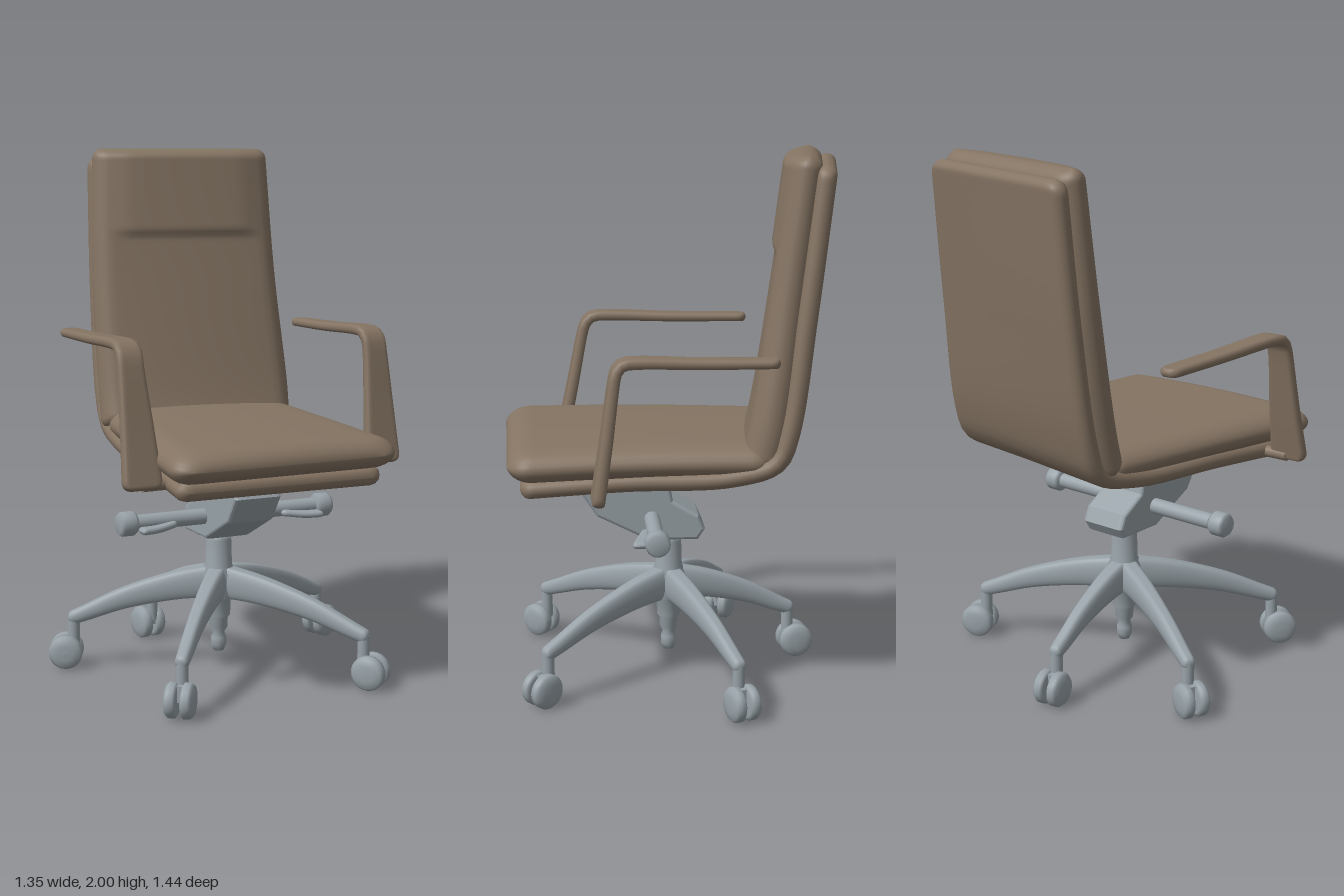
import * as THREE from 'three';

const leather = new THREE.MeshStandardMaterial({ name: 'brown leather', color: 0x857463 });
const metal = new THREE.MeshStandardMaterial({ name: 'grey metal', color: 0x98a2a8 });
const V = (x, y, z) => new THREE.Vector3(x, y, z);
const curve = pts => new THREE.CatmullRomCurve3(pts.map(p => V(...p)));
const step = THREE.MathUtils.smoothstep;

// Padded slab swept between a left and a right edge curve, rounded on every side.
// t: thickness, edge: side rounding, end: rounding at both ends, corner: plan radius, top: extra height
function slab(left, right, t, { edge = 0.03, end = 0.03, corner = 0.03, top = () => 0, rows = 72, ring = 44 } = {}) {
  const A = curve(left), B = curve(right);
  const length = (A.getLength() + B.getLength()) / 2;
  const pos = [], index = [];
  for (let i = 0; i <= rows; i++) {
    const u = (1 - Math.cos(Math.PI * i / rows)) / 2;
    const a = A.getPointAt(u), b = B.getPointAt(u);
    const mid = a.clone().add(b).multiplyScalar(0.5);
    const W = b.clone().sub(a);
    let w = W.length() / 2;
    W.normalize();
    const T = A.getTangentAt(u).add(B.getTangentAt(u));
    const N = T.cross(W).normalize();
    const d = Math.min(u, 1 - u) * length;
    const k = Math.max(0, 1 - d / end), c = Math.max(0, corner - d);
    const eu = Math.sqrt(Math.max(0, 1 - k * k));
    w -= corner - Math.sqrt(Math.max(0, corner * corner - c * c));
    const half = (typeof t === 'function' ? t(u) : t) / 2;
    for (let j = 0; j < ring; j++) {
      const ang = 2 * Math.PI * j / ring, x = Math.cos(ang), s = Math.sin(ang);
      const q = Math.min(1, Math.max(0, (Math.abs(x) * w - (w - edge)) / edge));
      const h = Math.sqrt(1 - q * q) * eu * (half + (s > 0 ? top(u, x) : 0));
      const p = mid.clone().addScaledVector(W, x * w)
        .addScaledVector(N, Math.abs(s) < 1e-6 ? 0 : Math.sign(s) * h);
      pos.push(p.x, p.y, p.z);
      if (i < rows) {
        const m = i * ring + j, n = i * ring + (j + 1) % ring;
        index.push(m, n, m + ring, n, n + ring, m + ring);
      }
    }
  }
  const g = new THREE.BufferGeometry();
  g.setAttribute('position', new THREE.Float32BufferAttribute(pos, 3));
  g.setIndex(index);
  g.computeVertexNormals();
  return g;
}

// Slab along a centre line, with width w(u) across a fixed direction
function strip(path, across, widths, t, opts) {
  const side = s => path.map((p, i) => p.map((v, k) => v + s * across[k] * widths[i] / 2));
  return slab(side(-1), side(1), t, opts);
}

function rod(from, to, r, r2 = r) {
  const a = V(...from), b = V(...to), dir = b.clone().sub(a);
  const g = new THREE.CylinderGeometry(r2, r, dir.length(), 24);
  g.applyQuaternion(new THREE.Quaternion().setFromUnitVectors(V(0, 1, 0), dir.normalize()));
  return g.translate(...a.add(b).multiplyScalar(0.5).toArray());
}

const lathe = pts => new THREE.LatheGeometry(pts.map(p => new THREE.Vector2(...p)), 28);

export function createModel() {
  const group = new THREE.Group();
  const add = (name, geometry, material, parent = group) => {
    const mesh = new THREE.Mesh(geometry, material);
    mesh.name = name;
    parent.add(mesh);
    return mesh;
  };

  // One-piece shell: down the back, round the bend and under the seat
  add('shell', slab(
    [[-0.64, 1.97, -0.36], [-0.62, 1.45, -0.31], [-0.585, 1.03, -0.25], [-0.555, 0.92, -0.21], [-0.46, 0.865, -0.06], [-0.25, 0.845, 0.29], [-0.02, 0.815, 0.66]],
    [[0, 1.97, -0.71], [0.06, 1.45, -0.675], [0.11, 1.03, -0.64], [0.135, 0.92, -0.605], [0.22, 0.865, -0.47], [0.42, 0.845, -0.15], [0.63, 0.815, 0.17]],
    0.07, { edge: 0.035, corner: 0.05, rows: 96 }), leather);

  // Back cushion with a raised head pad
  add('backCushion', slab(
    [[-0.6, 2, -0.3], [-0.59, 1.5, -0.25], [-0.55, 1.05, -0.19], [-0.53, 0.9, -0.16]],
    [[0.025, 2, -0.65], [0.075, 1.5, -0.605], [0.135, 1.05, -0.575], [0.15, 0.9, -0.55]],
    u => 0.11 + 0.03 * u, {
      edge: 0.07, end: 0.05, corner: 0.04, rows: 110, ring: 56,
      top: (u, x) => 0.022 * (1 - x * x) + 0.014 * (1 - step(u, 0.295, 0.325)) * (1 - step(Math.abs(x), 0.6, 0.85))
    }), leather);

  // Seat cushion
  add('seatCushion', slab(
    [[-0.53, 0.92, -0.2], [-0.27, 0.915, 0.29], [-0.01, 0.9, 0.75]],
    [[0.13, 0.92, -0.6], [0.43, 0.915, -0.18], [0.7, 0.9, 0.17]],
    0.115, { edge: 0.09, end: 0.1, corner: 0.09, top: (u, x) => 0.014 * (1 - x * x) }), leather);

  // Arms: flat pad bending into a blade that widens to the foot
  const across = [0.77, 0, -0.64], widths = [0.08, 0.085, 0.09, 0.095, 0.1, 0.1, 0.125, 0.155];
  const armPaths = {
    rightArm: [[-0.62, 1.3, -0.01], [-0.44, 1.303, 0.23], [-0.28, 1.31, 0.45], [-0.25, 1.305, 0.49], [-0.232, 1.28, 0.51], [-0.225, 1.24, 0.52], [-0.195, 1.03, 0.55], [-0.165, 0.81, 0.585]],
    leftArm: [[0.17, 1.3, -0.63], [0.34, 1.303, -0.42], [0.49, 1.31, -0.24], [0.52, 1.305, -0.205], [0.538, 1.28, -0.19], [0.545, 1.24, -0.185], [0.565, 1.03, -0.165], [0.585, 0.81, -0.14]]
  };
  for (const [name, path] of Object.entries(armPaths)) {
    add(name, strip(path, across, widths, u => 0.032 + 0.012 * u,
      { edge: 0.014, end: 0.012, corner: 0.035, rows: 64, ring: 28 }), leather);
  }
  // Brackets joining the arm feet to the shell
  add('armBracket', rod([-0.17, 0.825, 0.575], [-0.05, 0.825, 0.47], 0.022), leather);
  add('armBracket', rod([0.57, 0.825, -0.14], [0.44, 0.825, -0.04], 0.022), leather);

  // Tilt mechanism under the seat
  const yaw = THREE.MathUtils.degToRad(38);
  const under = new THREE.Group();
  under.name = 'mechanism';
  under.position.set(-0.03, 0, -0.03);
  under.rotation.y = yaw;
  group.add(under);
  const profile = new THREE.Shape([[-0.12, 0.575], [-0.1, 0.545], [0.08, 0.545], [0.27, 0.64], [0.33, 0.73],
    [0.3, 0.78], [0.02, 0.78], [0.0, 0.68], [-0.1, 0.62]].map(p => new THREE.Vector2(...p)));
  const body = new THREE.ExtrudeGeometry(profile, { depth: 0.15, bevelSize: 0.012, bevelThickness: 0.02, bevelSegments: 3 });
  body.translate(0, 0, -0.075).rotateY(-Math.PI / 2);
  add('tiltHousing', body, metal, under);
  add('seatPlate', new THREE.BoxGeometry(0.34, 0.04, 0.4).translate(0, 0.805, 0.14), metal, under);

  // Adjustment bar with a knob and a paddle at each end
  add('adjustmentBar', rod([-0.4, 0.62, 0.07], [0.4, 0.62, 0.07], 0.03), metal, under);
  for (const s of [-1, 1]) {
    const knob = lathe([[0, -0.035], [0.036, -0.035], [0.046, -0.022], [0.046, 0.022], [0.036, 0.035], [0, 0.035]]);
    add('knob', knob.rotateZ(Math.PI / 2).translate(s * 0.41, 0.62, 0.07), metal, under);
    add('paddle', strip([[s * 0.22, 0.61, 0.1], [s * 0.31, 0.6, 0.12], [s * 0.38, 0.6, 0.13]], [0, 0, 1],
      [0.03, 0.05, 0.06], 0.025, { edge: 0.012, end: 0.012, corner: 0.015, rows: 16, ring: 20 }), metal, under);
  }

  // Column, hub and the spindle hanging below it
  add('column', lathe([[0, 0.065], [0.02, 0.068], [0.03, 0.09], [0.03, 0.12], [0.022, 0.14], [0.034, 0.16], [0.036, 0.2],
    [0.045, 0.21], [0.047, 0.28], [0.07, 0.285], [0.068, 0.38], [0.052, 0.41], [0.049, 0.51], [0.044, 0.525],
    [0.034, 0.53], [0.034, 0.56], [0, 0.56]]).translate(-0.03, 0, -0.03), metal);

  // Five arched legs, each ending in a twin-wheel caster
  const wheel = lathe([[0, -0.022], [0.052, -0.022], [0.065, -0.014], [0.065, 0.008], [0.055, 0.02], [0.03, 0.025], [0, 0.026]]);
  const ends = [[-0.58, 0.09], [-0.385, -0.36], [-0.03, 0.57], [0.27, -0.535], [0.555, 0.11]];
  for (const [ex, ez] of ends) {
    const dx = ex + 0.03, dz = ez + 0.03, r = Math.hypot(dx, dz);
    const leg = new THREE.Group();
    leg.name = 'leg';
    leg.position.set(-0.03, 0, -0.03);
    leg.rotation.y = Math.atan2(dx, dz);
    group.add(leg);
    add('legBeam', strip([[0, 0.345, 0.02], [0, 0.325, r * 0.3], [0, 0.275, r * 0.65], [0, 0.215, r * 0.92], [0, 0.19, r + 0.02]],
      [1, 0, 0], [0.085, 0.075, 0.062, 0.055, 0.05], u => 0.125 - 0.075 * u,
      { edge: 0.018, end: 0.02, corner: 0.018, rows: 36, ring: 24 }), metal, leg);
    add('casterStem', rod([0, 0.08, r], [0, 0.2, r], 0.023), metal, leg);
    add('casterFork', new THREE.BoxGeometry(0.024, 0.06, 0.06).translate(0, 0.09, r + 0.015), metal, leg);
    for (const s of [-1, 1]) {
      const w = add('casterWheel', wheel, metal, leg);
      w.position.set(s * 0.03, 0.065, r + 0.03);
      w.rotation.z = -s * Math.PI / 2;
    }
  }
  return group;
}
